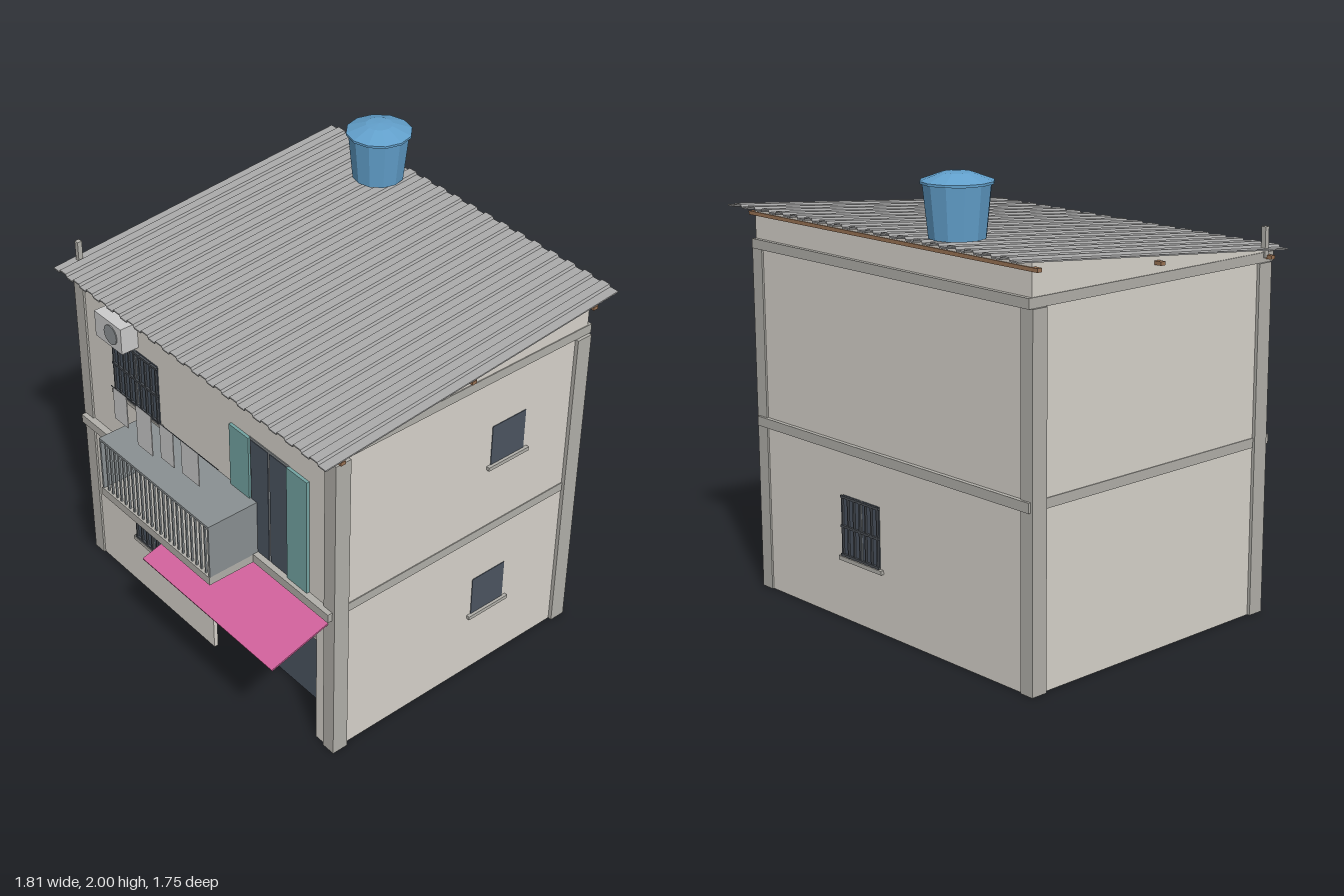
import * as THREE from 'three';

const mat = (color) => new THREE.MeshStandardMaterial({ color, flatShading: true, side: THREE.DoubleSide });
const M = {
  wall: mat(0xd8d4cc), concrete: mat(0xb2b0aa), glass: mat(0x4c5561), bar: mat(0x4a4f55),
  frame: mat(0x8f9496), metal: mat(0x8a9092), roof: mat(0xaaaaaa), wood: mat(0x9a7355),
  white: mat(0xdededc), teal: mat(0x74a5a3), pink: mat(0xd2629c), tank: mat(0x62a0cc),
};

// House shell limits
const X0 = -0.87, X1 = 0.845, Z0 = -0.775, Z1 = 0.578, T = 0.02;
const roofY = (z) => 1.583 + 0.094 * (0.67 - z);

function add(parent, name, geometry, material) {
  const mesh = new THREE.Mesh(geometry, material);
  mesh.name = name;
  parent.add(mesh);
  return mesh;
}

// Box given by its min and max on each axis
function box(parent, name, material, x0, x1, y0, y1, z0, z1) {
  const m = add(parent, name, new THREE.BoxGeometry(x1 - x0, y1 - y0, z1 - z0), material);
  m.position.set((x0 + x1) / 2, (y0 + y1) / 2, (z0 + z1) / 2);
  return m;
}

function group(parent, name) {
  const g = new THREE.Group();
  g.name = name;
  parent.add(g);
  return g;
}

// Window on a wall facing local +z, centred on x, sill at the bottom
function makeWindow(parent, name, w, h, bars) {
  const g = group(parent, name);
  box(g, 'glass', M.glass, -w / 2, w / 2, 0, h, -T - 0.002, 0.003);
  box(g, 'sill', M.concrete, -w / 2 - 0.02, w / 2 + 0.02, -0.018, 0, -0.005, 0.016);
  if (bars) {
    for (let i = 0; i <= bars; i++) {
      const x = -w / 2 + 0.005 + (w - 0.01) * i / bars;
      box(g, 'verticalBar', M.bar, x - 0.004, x + 0.004, 0, h, 0.006, 0.014);
    }
    for (const y of [0.008, h / 2, h - 0.006])
      box(g, 'crossBar', M.bar, -w / 2 - 0.005, w / 2 + 0.005, y - 0.005, y + 0.005, 0.005, 0.015);
    box(g, 'mullion', M.frame, -0.008, 0.008, 0, h, 0, 0.005);
  }
  return g;
}

function makeShell(root) {
  const g = group(root, 'shell');
  // Front wall with the garage opening cut out of its lower edge
  const s = new THREE.Shape();
  [[X0, 0], [0.03, 0], [0.03, 0.64], [0.74, 0.64], [0.74, 0], [X1, 0], [X1, 1.56], [X0, 1.56]]
    .forEach(([x, y], i) => (i ? s.lineTo(x, y) : s.moveTo(x, y)));
  add(g, 'frontWall', new THREE.ExtrudeGeometry(s, { depth: T, bevelEnabled: false }), M.wall).position.z = Z1 - T;
  box(g, 'backWall', M.wall, X0, X1, 0, roofY(Z0) - 0.003, Z0, Z0 + T);

  // Side walls rising with the roof pitch
  const side = new THREE.Shape();
  [[-Z1, 0], [-Z0, 0], [-Z0, roofY(Z0)], [-Z1, roofY(Z1)]]
    .forEach(([x, y], i) => (i ? side.lineTo(x, y) : side.moveTo(x, y)));
  for (const x of [X0, X1 - T]) {
    const m = add(g, 'sideWall', new THREE.ExtrudeGeometry(side, { depth: T, bevelEnabled: false }), M.wall);
    m.rotation.y = Math.PI / 2;
    m.position.x = x;
  }
  // Corner columns and floor slabs
  for (const x of [-0.884, 0.796])
    for (const z of [-0.783, 0.511])
      box(g, 'cornerColumn', M.concrete, x, x + 0.067, 0, 1.54, z, z + 0.076);
  for (const y of [0.75, 1.54])
    box(g, 'floorBeam', M.concrete, X0 - 0.004, X1 + 0.004, y, y + 0.042, -0.794, 0.61);
}

function makeRoof(root) {
  const g = group(root, 'roof');
  // Corrugated profile: alternating low and high strips
  const n = 37, w = 1.807 / n, top = [];
  for (let i = 0; i < n; i++) {
    const y = i % 2 ? 0.016 : 0.005, x = -0.9035 + i * w;
    top.push([x + 0.003, y], [x + w - 0.003, y]);
  }
  const s = new THREE.Shape();
  top.forEach(([x, y], i) => (i ? s.lineTo(x, y) : s.moveTo(x, y)));
  top.reverse().forEach(([x, y]) => s.lineTo(x, y - 0.006));
  const geo = new THREE.ExtrudeGeometry(s, { depth: 1.545, bevelEnabled: false });
  geo.translate(0, 0, -0.875);
  // Shear to the roof pitch
  const p = geo.attributes.position;
  for (let i = 0; i < p.count; i++) p.setY(i, p.getY(i) + roofY(p.getZ(i)));
  geo.computeVertexNormals();
  add(g, 'corrugatedSheet', geo, M.roof);
  for (const z of [0.57, -0.1, -0.768]) {
    const y = roofY(z) - 0.03;
    box(g, 'purlin', M.wood, -0.905, 0.885, y - 0.008, y + 0.008, z - 0.012, z + 0.012);
  }
  box(g, 'ventPipe', M.concrete, -0.881, -0.859, 1.56, 1.69, 0.546, 0.568);
}

function makeTank(root) {
  const g = group(root, 'waterTank');
  g.position.set(-0.41, 1.742, -0.73);
  const pts = [[0, 0], [0.115, 0], [0.137, 0.212], [0.147, 0.212], [0.147, 0.222], [0.06, 0.254], [0, 0.258]];
  add(g, 'tankBody', new THREE.LatheGeometry(pts.map(([x, y]) => new THREE.Vector2(x, y)), 12), M.tank);
}

function makeBalcony(root) {
  const g = group(root, 'balcony');
  const x0 = -0.39, x1 = 0.37, z1 = 0.832;
  box(g, 'balconySlab', M.concrete, x0, x1, 0.75, 0.79, Z1, z1 + 0.004);
  box(g, 'topCover', M.metal, x0, x1, 1.043, 1.055, Z1, z1);
  for (const x of [x0, x1 - 0.01]) box(g, 'sidePanel', M.metal, x, x + 0.01, 0.79, 1.043, Z1, z1);
  for (let i = 1; i < 24; i++) {
    const x = x0 + 0.005 + (x1 - x0 - 0.01) * i / 24;
    box(g, 'baluster', M.metal, x - 0.004, x + 0.004, 0.79, 1.043, z1 - 0.012, z1 - 0.004);
  }
  // Washing line with hanging laundry
  const line = group(g, 'washingLine');
  box(line, 'line', M.bar, -0.37, 0.36, 1.308, 1.311, 0.7635, 0.7665);
  for (const [a, b, y] of [[-0.355, -0.26, 1.15], [-0.195, -0.09, 1.105], [-0.03, 0.06, 1.135], [0.115, 0.23, 1.145]])
    box(line, 'laundry', M.white, a, b, y, 1.31, 0.763, 0.767);
}

function makeDoors(root) {
  // Balcony door with open shutters
  const d = group(root, 'balconyDoor');
  box(d, 'doorFrame', M.frame, 0.325, 0.575, 0.79, 1.365, Z1 - T, Z1 + 0.004);
  for (const x of [0.335, 0.456]) box(d, 'doorGlass', M.glass, x, x + 0.11, 0.795, 1.355, Z1, Z1 + 0.007);
  for (const x of [0.205, 0.57]) box(d, 'shutter', M.teal, x, x + 0.125, 0.79, 1.362, Z1, Z1 + 0.014);

  // Garage: recessed door, rolled shutter and awning
  const q = group(root, 'garage');
  box(q, 'garageDoor', M.glass, 0.03, 0.74, 0.01, 0.66, 0.43, 0.44);
  box(q, 'shutterRoll', M.frame, 0.03, 0.74, 0.605, 0.66, 0.54, 0.592);
  for (let i = 0; i < 4; i++)
    box(q, 'shutterSlat', M.concrete, 0.033, 0.737, 0.55 + i * 0.016, 0.564 + i * 0.016, 0.56, 0.572);
  const a = box(q, 'awning', M.pink, -0.048, 0.824, 0.671, 0.679, 0.578, 0.882);
  a.rotation.x = Math.atan2(0.085, 0.304);
}

function makeAirConditioner(root) {
  const g = group(root, 'airConditioner');
  box(g, 'casing', M.white, -0.62, -0.43, 1.385, 1.51, Z1, 0.662);
  const fan = add(g, 'fan', new THREE.CylinderGeometry(0.046, 0.046, 0.006, 16), M.frame);
  fan.rotation.x = Math.PI / 2;
  fan.position.set(-0.505, 1.448, 0.663);
}

export function createModel() {
  const root = new THREE.Group();
  root.name = 'house';
  makeShell(root);
  makeRoof(root);
  makeTank(root);
  makeBalcony(root);
  makeDoors(root);
  makeAirConditioner(root);

  // Windows: barred at front and back, plain on the side
  makeWindow(root, 'upperFrontWindow', 0.32, 0.295, 8).position.set(-0.455, 1.065, Z1);
  makeWindow(root, 'lowerFrontWindow', 0.24, 0.272, 6).position.set(-0.402, 0.286, Z1);
  const back = makeWindow(root, 'backWindow', 0.24, 0.272, 6);
  back.position.set(0.16, 0.286, Z0);
  back.rotation.y = Math.PI;
  for (const [y, z] of [[1.115, -0.352], [0.325, -0.292]]) {
    const w = makeWindow(root, 'sideWindow', 0.186, 0.195, 0);
    w.position.set(X1, y, z);
    w.rotation.y = Math.PI / 2;
  }
  return root;
}
